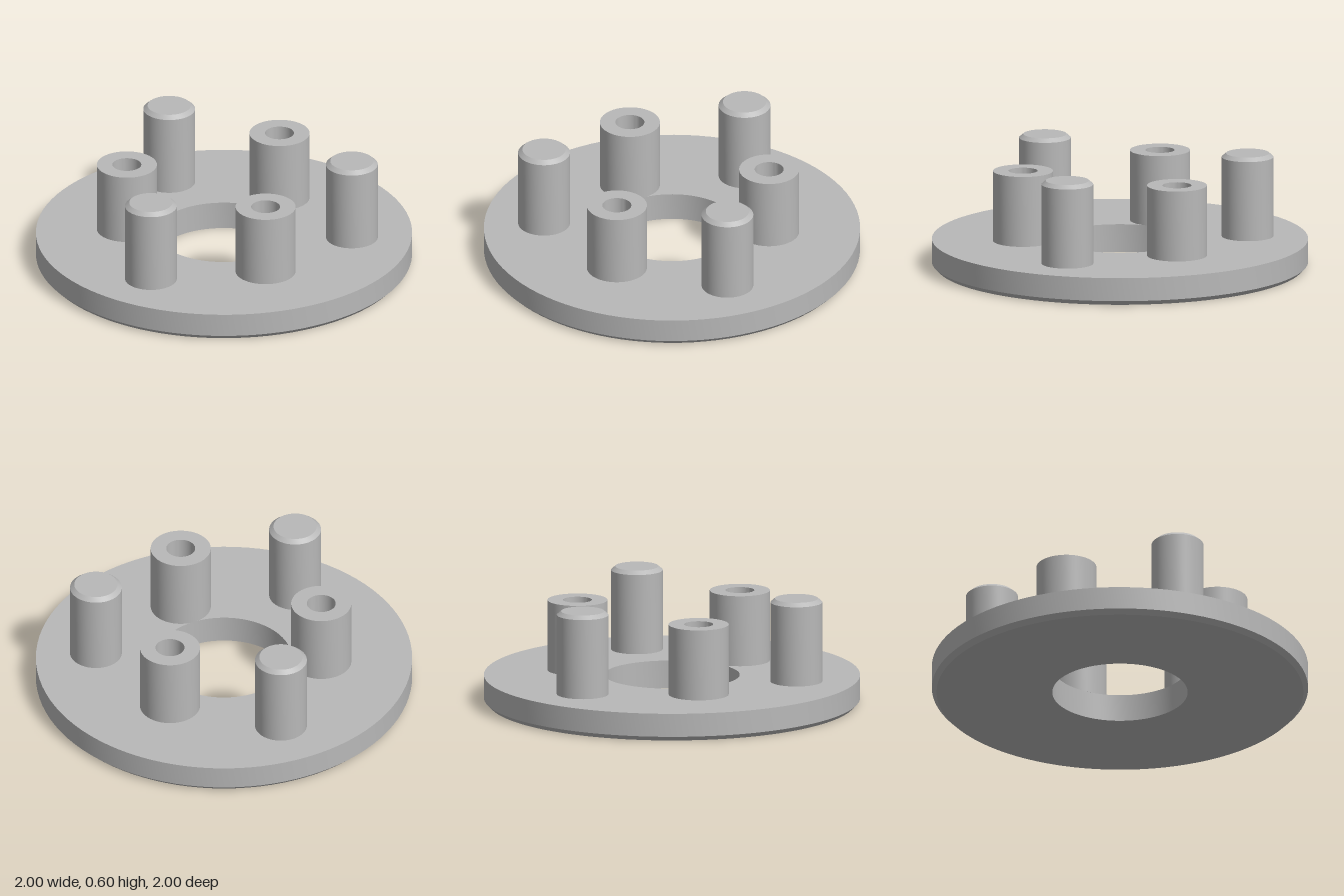
import * as THREE from 'three';
import { toCreasedNormals } from 'three/addons/utils/BufferGeometryUtils.js';

// Turned solid from [radius, height] points, running from the bottom outwards and up
function turned(profile, segments) {
  const points = profile.map(([r, y]) => new THREE.Vector2(r, y));
  return toCreasedNormals(new THREE.LatheGeometry(points, segments), 0.5);
}

export function createModel() {
  const metal = new THREE.MeshStandardMaterial({ color: 0xb8b8b8 });
  metal.name = 'grey metal';
  const model = new THREE.Group();
  model.name = 'pinFlange';

  const add = (name, geometry, x = 0, z = 0) => {
    const mesh = new THREE.Mesh(geometry, metal);
    mesh.name = name;
    mesh.position.set(x, 0, z);
    model.add(mesh);
  };

  const top = 0.15; // upper face of the plate

  // Ring plate with a chamfered lower rim and a central bore
  add('plate', turned([
    [0.36, 0], [0.975, 0], [1, 0.025], [1, top], [0.36, top], [0.36, 0],
  ], 96));

  // Solid pin with a chamfered tip
  const pin = turned([[0.138, top], [0.138, 0.58], [0.115, 0.6], [0, 0.6]], 48);

  // Boss with a blind hole down to the plate
  const boss = turned([
    [0.16, top], [0.16, 0.53], [0.077, 0.53], [0.077, top + 0.002], [0, top + 0.002],
  ], 48);

  // Three pins and three bosses alternate around the axis
  for (let i = 0; i < 3; i++) {
    const a = (i * Math.PI * 2) / 3;
    add('pin' + (i + 1), pin, 0.682 * Math.sin(a), -0.682 * Math.cos(a));
    add('boss' + (i + 1), boss, 0.518 * Math.sin(a), 0.518 * Math.cos(a));
  }
  return model;
}
